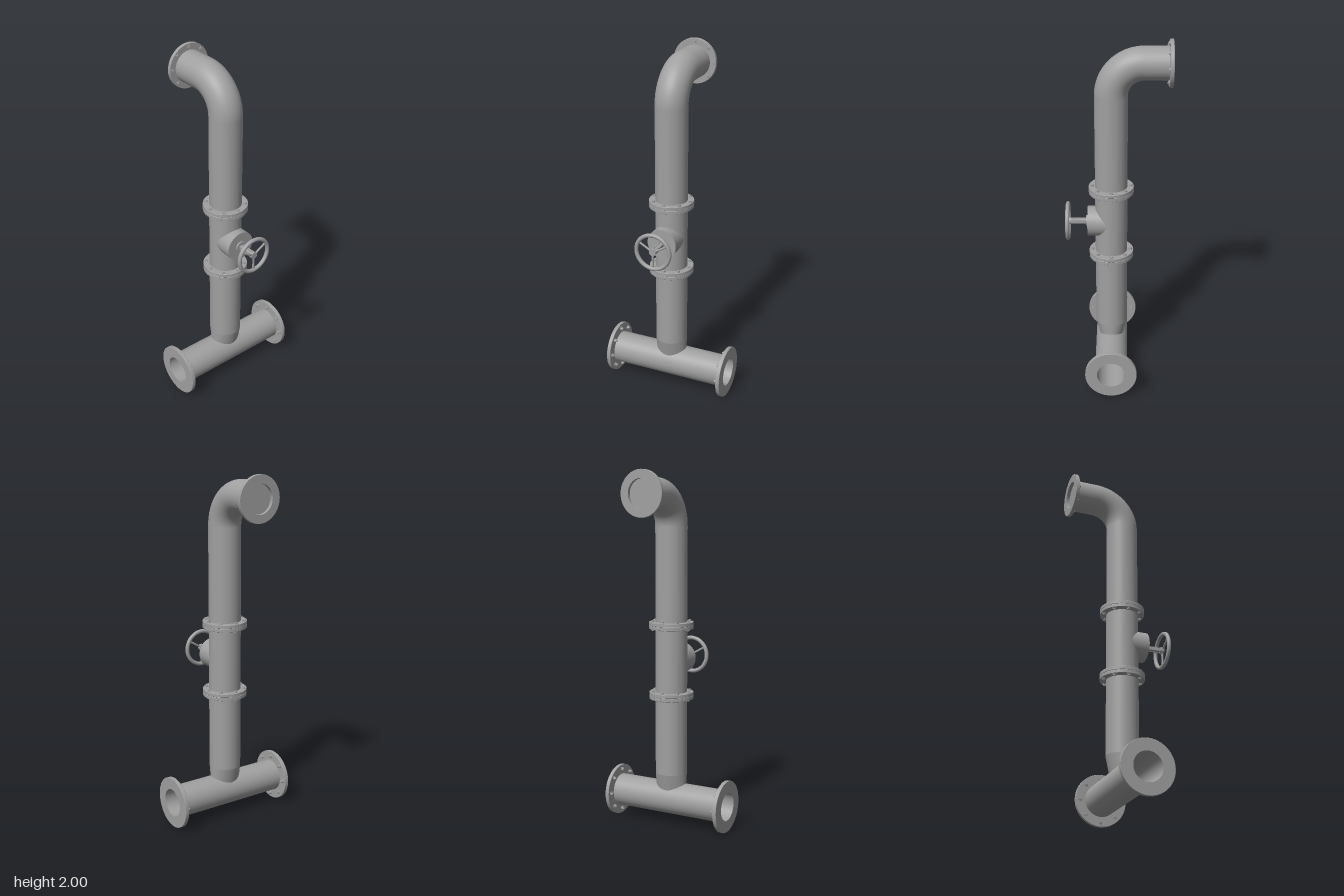
import * as THREE from 'three';
import { toCreasedNormals } from 'three/addons/utils/BufferGeometryUtils.js';

export function createModel() {
  const model = new THREE.Group();
  model.name = 'pipeWithValve';
  const steel = new THREE.MeshStandardMaterial({ color: 0xa0a0a0 });
  steel.name = 'grey steel';

  const C = 0.033;      // z of the riser and base axes
  const BASE_Y = 0.147; // height of the base axis
  const R = 0.09;       // pipe radius
  const UP = new THREE.Vector3(0, 1, 0);

  function add(name, geometry, parent = model, x = 0, y = 0, z = 0) {
    const mesh = new THREE.Mesh(geometry, steel);
    mesh.name = name;
    mesh.position.set(x, y, z);
    parent.add(mesh);
    return mesh;
  }

  // Hollow ring or pipe along y with sharp edges
  function ring(inner, outer, y0, y1) {
    const b = 0.0015;
    const points = [
      [inner, y0], [outer - b, y0], [outer, y0 + b], [outer, y1 - b],
      [outer - b, y1], [inner, y1], [inner, y0],
    ].map(([x, y]) => new THREE.Vector2(x, y));
    return toCreasedNormals(new THREE.LatheGeometry(points, 48), 0.5);
  }

  // Flange whose bolted face looks along dir
  const washerGeo = new THREE.CylinderGeometry(0.0125, 0.0125, 0.004, 16);
  const headGeo = toCreasedNormals(new THREE.CylinderGeometry(0.0095, 0.0095, 0.01, 6), 0.5);
  const shankGeo = new THREE.CylinderGeometry(0.005, 0.005, 0.004, 10);
  function flange(name, inner, outer, thick, boltCircle, position, dir, scale = 1) {
    const group = new THREE.Group();
    group.name = name;
    group.position.set(...position);
    group.quaternion.setFromUnitVectors(UP, new THREE.Vector3(...dir));
    add(name + 'Disc', ring(inner, outer, 0, thick), group);
    for (let i = 0; i < 8; i++) {
      const a = i * Math.PI / 4;
      const bolt = new THREE.Group();
      bolt.name = 'bolt';
      bolt.position.set(Math.cos(a) * boltCircle, thick, Math.sin(a) * boltCircle);
      bolt.scale.y = scale;
      add('washer', washerGeo, bolt, 0, 0.002, 0);
      add('boltHead', headGeo, bolt, 0, 0.008, 0);
      add('boltEnd', shankGeo, bolt, 0, 0.0145, 0);
      group.add(bolt);
    }
    model.add(group);
  }

  // Open base pipe with a flange at each end
  const basePipe = add('basePipe', ring(0.08, 0.092, -0.355, 0.355), model, 0, BASE_Y, C);
  basePipe.rotation.z = Math.PI / 2;
  for (const s of [-1, 1]) {
    flange(s > 0 ? 'leftBaseFlange' : 'rightBaseFlange', 0.08, 0.147, 0.022, 0.12,
      [s * 0.36, BASE_Y, C], [-s, 0, 0]);
  }

  // Saddle: lower ring of the riser follows the base pipe
  const saddleTop = 0.3;
  const saddle = new THREE.CylinderGeometry(R, R, 0.1, 48, 1, true);
  const p = saddle.attributes.position;
  for (let i = 0; i < p.count; i++) {
    if (p.getY(i) < 0) {
      const z = p.getZ(i) * 0.77;
      p.setXYZ(i, p.getX(i), BASE_Y + Math.sqrt(0.0905 ** 2 - z * z) - saddleTop, z);
    } else p.setY(i, 0);
  }
  saddle.computeVertexNormals();
  add('riserSaddle', saddle, model, 0, saddleTop, C);

  // Riser, elbow and outlet
  const bend = 0.175, bendY = 1.7;
  add('riser', new THREE.CylinderGeometry(R, R, bendY - saddleTop, 48, 1, true),
    model, 0, (bendY + saddleTop) / 2, C);
  const elbow = add('elbow', new THREE.TorusGeometry(bend, R, 48, 24, Math.PI / 2),
    model, 0, bendY, C - bend);
  elbow.rotation.y = -Math.PI / 2;
  const outletY = bendY + bend, outletEnd = -0.272, outletStart = C - bend;
  const outlet = add('outletPipe', new THREE.CylinderGeometry(R, R, outletStart - outletEnd, 48),
    model, 0, outletY, (outletStart + outletEnd) / 2);
  outlet.rotation.x = Math.PI / 2;
  flange('outletFlange', 0.08, 0.126, 0.02, 0.108, [0, outletY, -0.292], [0, 0, 1], 0.55);

  // Bolted joints above and below the valve
  for (const [name, y] of [['lowerJoint', 0.753], ['upperJoint', 1.152]]) {
    flange(name + 'Top', 0.085, 0.125, 0.02, 0.108, [0, y, C], [0, 1, 0], 0.55);
    flange(name + 'Bottom', 0.085, 0.125, 0.02, 0.108, [0, y, C], [0, -1, 0], 0.55);
  }

  // Valve, built along its own y axis, then turned to the front
  const valve = new THREE.Group();
  valve.name = 'valve';
  valve.position.set(0, 0.953, 0);
  valve.rotation.x = Math.PI / 2;
  model.add(valve);
  const rod = (name, r, y0, y1, sides) => add(name,
    toCreasedNormals(new THREE.CylinderGeometry(r, r, y1 - y0, sides), 0.5),
    valve, 0, (y0 + y1) / 2, 0);
  rod('bonnet', 0.085, 0.05, 0.166, 48);
  rod('collar', 0.031, 0.166, 0.175, 24);
  rod('stem', 0.011, 0.17, 0.28, 16);
  for (const s of [-1, 1]) { // yoke bars beside the stem
    add('yokeBar', new THREE.BoxGeometry(0.007, 0.087, 0.02), valve, s * 0.0125, 0.2175, 0);
  }
  rod('yokeCap', 0.016, 0.258, 0.266, 16);

  // Handwheel with three spokes
  const rim = add('handwheelRim', new THREE.TorusGeometry(0.0985, 0.0115, 14, 48), valve, 0, 0.277, 0);
  rim.rotation.x = Math.PI / 2;
  rod('handwheelHub', 0.02, 0.266, 0.284, 16);
  const spokeGeo = new THREE.CylinderGeometry(0.006, 0.006, 0.09, 10);
  spokeGeo.rotateZ(-Math.PI / 2).translate(0.05, 0, 0);
  for (const angle of [30, 150, 270]) {
    const spoke = add('handwheelSpoke', spokeGeo, valve, 0, 0.277, 0);
    spoke.rotation.y = angle * Math.PI / 180;
  }
  return model;
}
